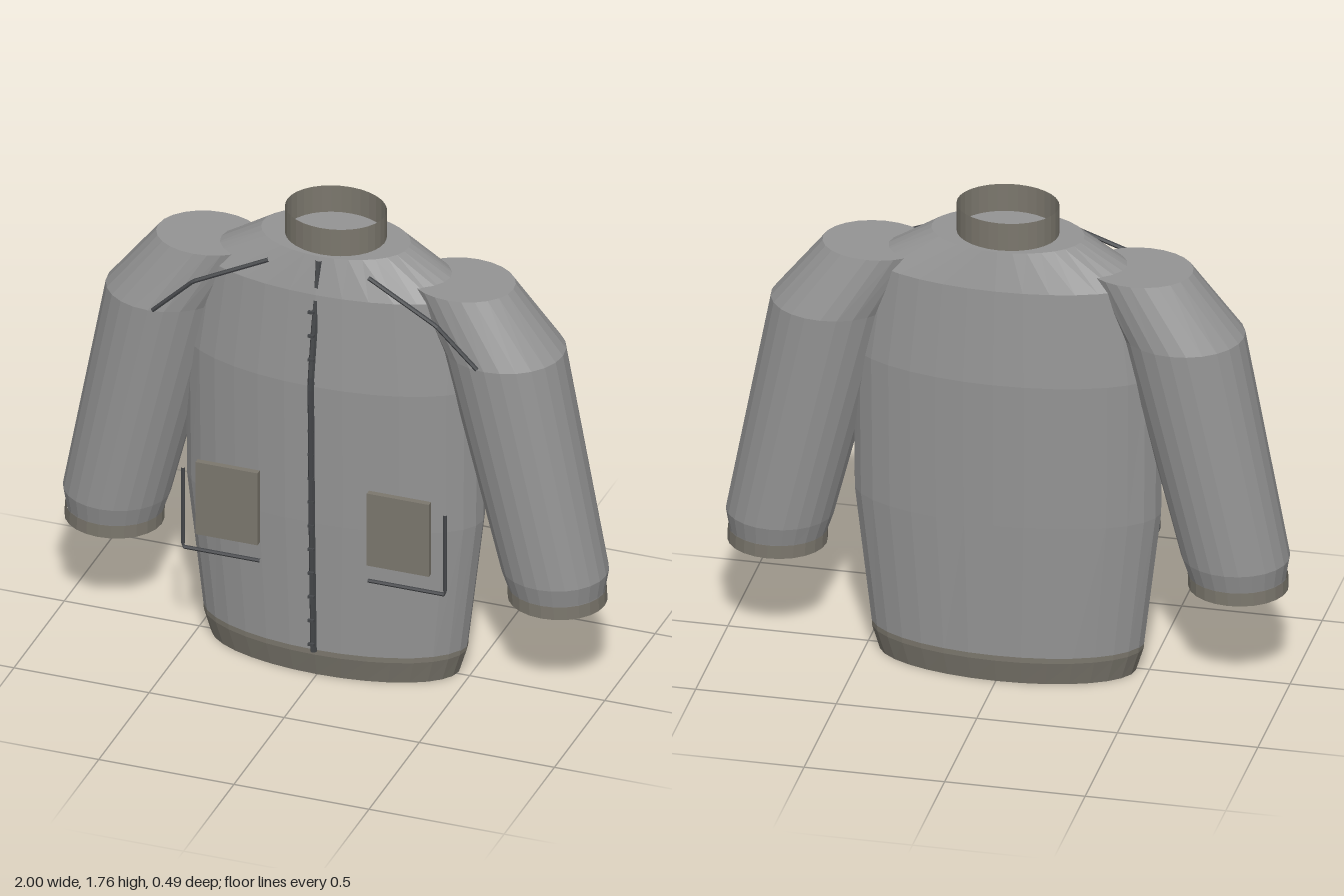
import * as THREE from 'three';

const fabric = new THREE.MeshStandardMaterial({ color: 0x949494, flatShading: true });
fabric.name = 'grey fabric';
const trim = new THREE.MeshStandardMaterial({ color: 0x7b776d, flatShading: true, side: THREE.DoubleSide });
trim.name = 'warm grey trim';
const dark = new THREE.MeshStandardMaterial({ color: 0x45474a, flatShading: true });
dark.name = 'dark piping';

const CZ = -0.015; // centre of the garment in depth

// Skin through horizontal ellipses [y, centreX, radiusX, radiusZ], listed from the bottom up
function loft(sections, n, capped) {
  const pos = [], idx = [];
  for (const [y, cx, rx, rz] of sections) {
    for (let j = 0; j < n; j++) {
      const t = (j / n) * Math.PI * 2;
      pos.push(cx + rx * Math.cos(t), y, CZ + rz * Math.sin(t));
    }
  }
  for (let i = 0; i < sections.length - 1; i++) {
    for (let j = 0; j < n; j++) {
      const a = i * n + j, b = i * n + (j + 1) % n, c = b + n, d = a + n;
      idx.push(a, d, b, b, d, c);
    }
  }
  if (capped) {
    const top = (sections.length - 1) * n;
    for (let j = 1; j < n - 1; j++) {
      idx.push(0, j, j + 1);
      idx.push(top, top + j + 1, top + j);
    }
  }
  const g = new THREE.BufferGeometry();
  g.setAttribute('position', new THREE.Float32BufferAttribute(pos, 3));
  g.setIndex(idx);
  const flat = g.toNonIndexed();
  flat.computeVertexNormals();
  return flat;
}

// Cord along straight segments
function cord(points, radius) {
  const path = new THREE.CurvePath();
  const v = points.map(p => new THREE.Vector3(...p));
  for (let i = 0; i < v.length - 1; i++) path.add(new THREE.LineCurve3(v[i], v[i + 1]));
  return new THREE.TubeGeometry(path, 32, radius, 6, false);
}

export function createModel() {
  const model = new THREE.Group();
  model.name = 'jacket';
  const add = (name, geometry, material, parent = model) => {
    const m = new THREE.Mesh(geometry, material);
    m.name = name;
    parent.add(m);
    return m;
  };

  // Torso with sloping shoulders, closed at both ends
  add('torso', loft([
    [0.006, 0, 0.448, 0.184],
    [0.09, 0, 0.482, 0.209],
    [0.62, 0, 0.545, 0.224],
    [1.17, 0, 0.55, 0.234],
    [1.52, 0, 0.5, 0.205],
    [1.655, 0, 0.27, 0.168],
  ], 32, true), fabric);

  // Hem band and open collar
  add('hem', loft([[0, 0, 0.455, 0.19], [0.09, 0, 0.483, 0.213], [0.11, 0, 0.484, 0.213]], 32, false), trim);
  add('collar', loft([[1.65, 0, 0.18, 0.153], [1.76, 0, 0.18, 0.153]], 32, false), trim);

  // Front zip, dipping into the upper chest
  add('zip', cord([[0, 0.11, 0.208], [0, 0.62, 0.225], [0, 1.2, 0.236], [0, 1.64, 0.155]], 0.012), dark);
  for (let i = 0; i < 15; i++) {
    const stud = add('stud', new THREE.BoxGeometry(0.022, 0.01, 0.01), dark);
    stud.position.set(0, 0.15 + i * 0.0946, 0.234);
  }

  for (const s of [1, -1]) {
    const side = new THREE.Group();
    side.name = s > 0 ? 'leftSide' : 'rightSide';
    model.add(side);

    // Sleeve and its open cuff
    add('sleeve', loft([
      [0.4, s * 0.818, 0.168, 0.157],
      [0.42, s * 0.816, 0.172, 0.161],
      [0.49, s * 0.81, 0.19, 0.178],
      [1.335, s * 0.622, 0.218, 0.203],
      [1.565, s * 0.47, 0.187, 0.155],
    ], 24, true), fabric, side);
    add('cuff', loft([[0.37, s * 0.82, 0.175, 0.163], [0.42, s * 0.818, 0.175, 0.163]], 24, false), trim, side);

    // Patch pocket
    const pocket = add('pocket', new THREE.BoxGeometry(0.23, 0.287, 0.022), trim, side);
    pocket.position.set(s * 0.317, 0.642, 0.211);

    // Piping around the pocket corner and over the shoulder
    add('pocketPiping', cord([[s * 0.485, 0.745, 0.203], [s * 0.485, 0.428, 0.203], [s * 0.2, 0.428, 0.203]], 0.007), dark, side);
    add('shoulderPiping', cord([[s * 0.185, 1.608, 0.158], [s * 0.45, 1.49, 0.198], [s * 0.6, 1.345, 0.197]], 0.008), dark, side);
  }
  return model;
}
